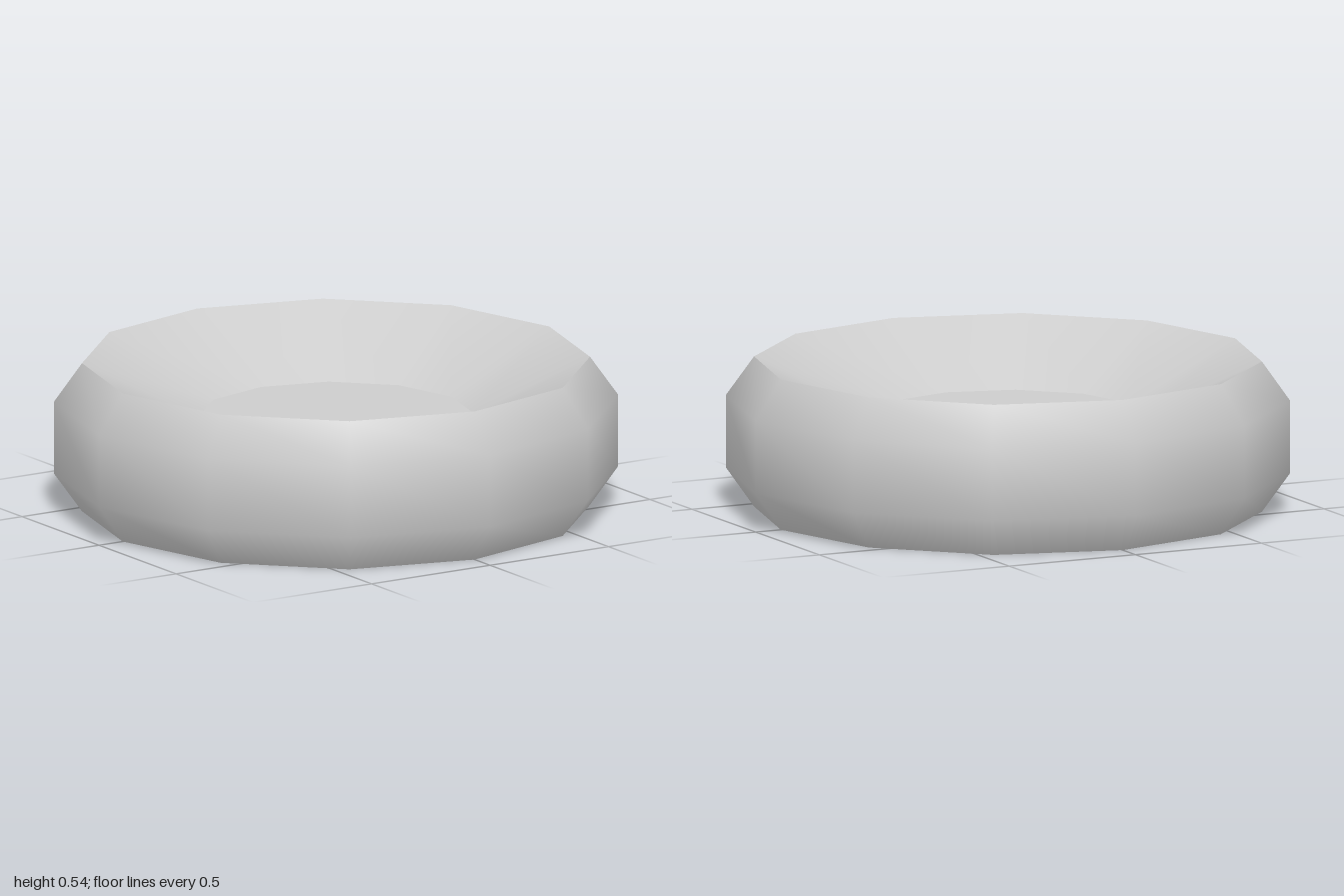
import * as THREE from 'three';

const SIDES = 12;

export function createModel() {
  const group = new THREE.Group();
  group.name = 'bowl';
  const grey = new THREE.MeshStandardMaterial({ color: 0xcccccc });
  grey.name = 'light grey';

  const add = (name, geometry, y = 0) => {
    const mesh = new THREE.Mesh(geometry, grey);
    mesh.name = name;
    mesh.position.y = y;
    group.add(mesh);
  };
  const lathe = (profile) =>
    new THREE.LatheGeometry(profile.map(([r, y]) => new THREE.Vector2(r, y)), SIDES);

  // Rounded outer wall, bottom to top
  add('outerWall', lathe([[0.9, 0], [1, 0.14], [1, 0.4], [0.9, 0.54]]));
  // Sloping inner wall, rim down to floor so that it faces inwards
  add('innerWall', lathe([[0.9, 0.54], [0.487, 0.34]]));
  // Flat floor of the hollow and flat underside
  add('floor', new THREE.CircleGeometry(0.487, SIDES).rotateX(-Math.PI / 2), 0.34);
  add('underside', new THREE.CircleGeometry(0.9, SIDES).rotateX(Math.PI / 2));

  return group;
}
